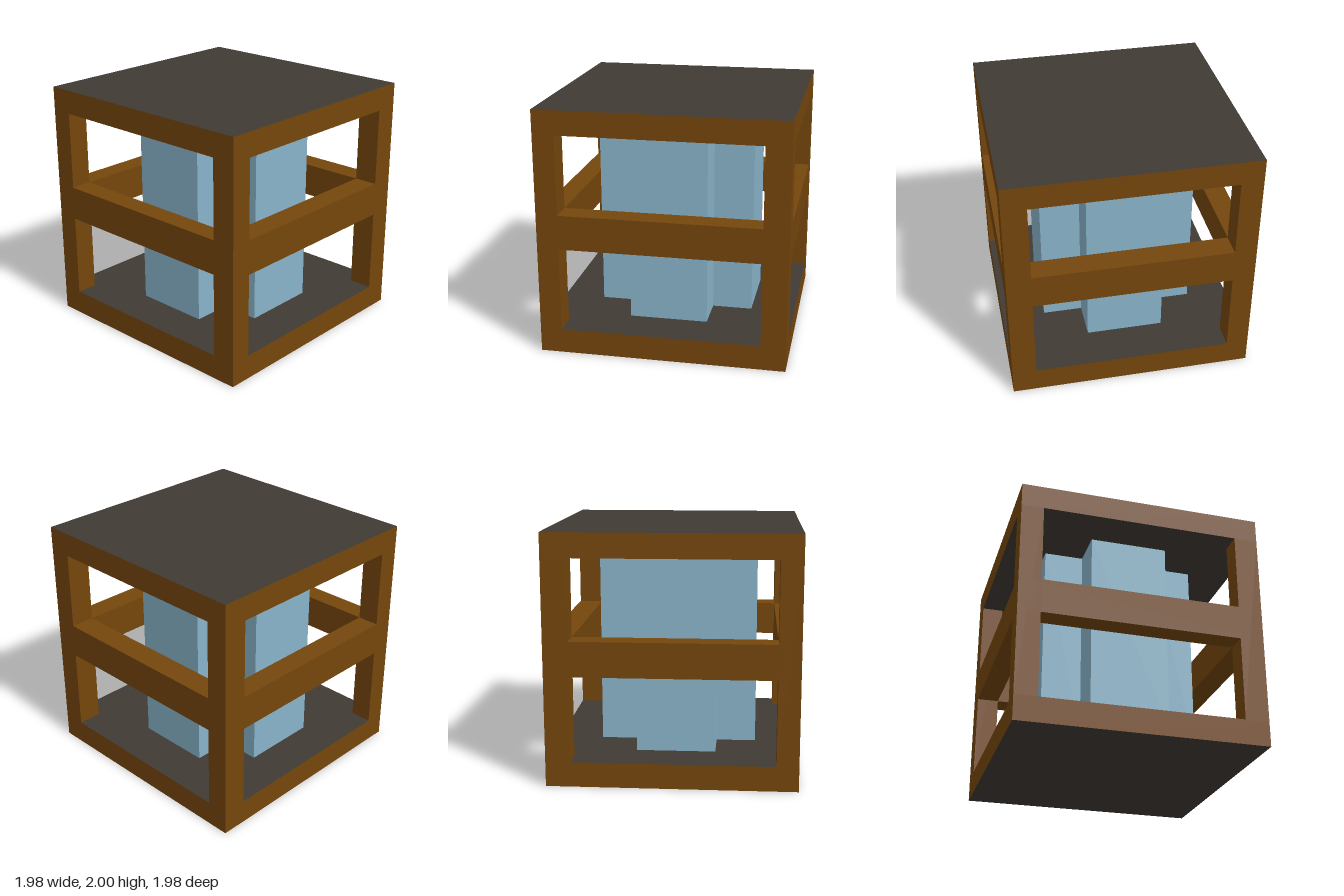
import * as THREE from 'three';

const mat = (name, color) => {
  const m = new THREE.MeshStandardMaterial({ color });
  m.name = name;
  return m;
};

export function createModel() {
  const wood = mat('brown wood', 0x75460c);
  const dark = mat('dark slab', 0x403a34);
  const glass = mat('pale blue', 0x89b4ca);

  const model = new THREE.Group();
  model.name = 'framedTower';

  const R = 0.99;                         // half width of the frame
  const inX = [-0.815, 0.79];             // opening limits across x
  const inZ = [-0.81, 0.795];             // opening limits across z
  const floorY = 0.2, ceilY = 1.805;      // slab faces inside the frame

  const add = (name, geometry, material) => {
    const mesh = new THREE.Mesh(geometry, material);
    mesh.name = name;
    model.add(mesh);
  };

  // Box given by its limits on each axis
  const box = ([x0, x1], [y0, y1], [z0, z1]) =>
    new THREE.BoxGeometry(x1 - x0, y1 - y0, z1 - z0)
      .translate((x0 + x1) / 2, (y0 + y1) / 2, (z0 + z1) / 2);

  // Plan outline (x, z) raised from y0 to y1
  const raise = (shape, y0, y1) =>
    new THREE.ExtrudeGeometry(shape, { depth: y1 - y0, bevelEnabled: false })
      .rotateX(Math.PI / 2).translate(0, y1, 0);

  const outline = (Type, points) => new Type(points.map(([x, z]) => new THREE.Vector2(x, z)));
  const rect = (Type, [x0, x1], [z0, z1]) =>
    outline(Type, [[x0, z0], [x1, z0], [x1, z1], [x0, z1]]);

  // Floor and roof slabs: dark faces with wooden edges
  const slabMaterials = [wood, wood, dark, dark, wood, wood];
  add('floorSlab', box([-R, R], [0, floorY], [-R, R]), slabMaterials);
  add('roofSlab', box([-R, R], [ceilY, 2], [-R, R]), slabMaterials);

  // Corner posts
  for (const [sideX, xs] of [['Right', [-R, inX[0]]], ['Left', [inX[1], R]]])
    for (const [sideZ, zs] of [['back', [-R, inZ[0]]], ['front', [inZ[1], R]]])
      add(`${sideZ}${sideX}Post`, box(xs, [floorY, ceilY], zs), wood);

  // Middle beam running round all four sides
  const ring = rect(THREE.Shape, [-R, R], [-R, R]);
  ring.holes.push(rect(THREE.Path, inX, inZ));
  add('middleBeam', raise(ring, 0.885, 1.165), wood);

  // Cross-shaped core standing between floor and roof
  const [a, b, c, d] = [-0.65, -0.33, 0.305, 0.63];
  const cross = outline(THREE.Shape, [
    [b, a], [c, a], [c, b], [d, b], [d, c], [c, c],
    [c, d], [b, d], [b, c], [a, c], [a, b], [b, b],
  ]);
  add('crossCore', raise(cross, floorY, ceilY), glass);

  return model;
}
